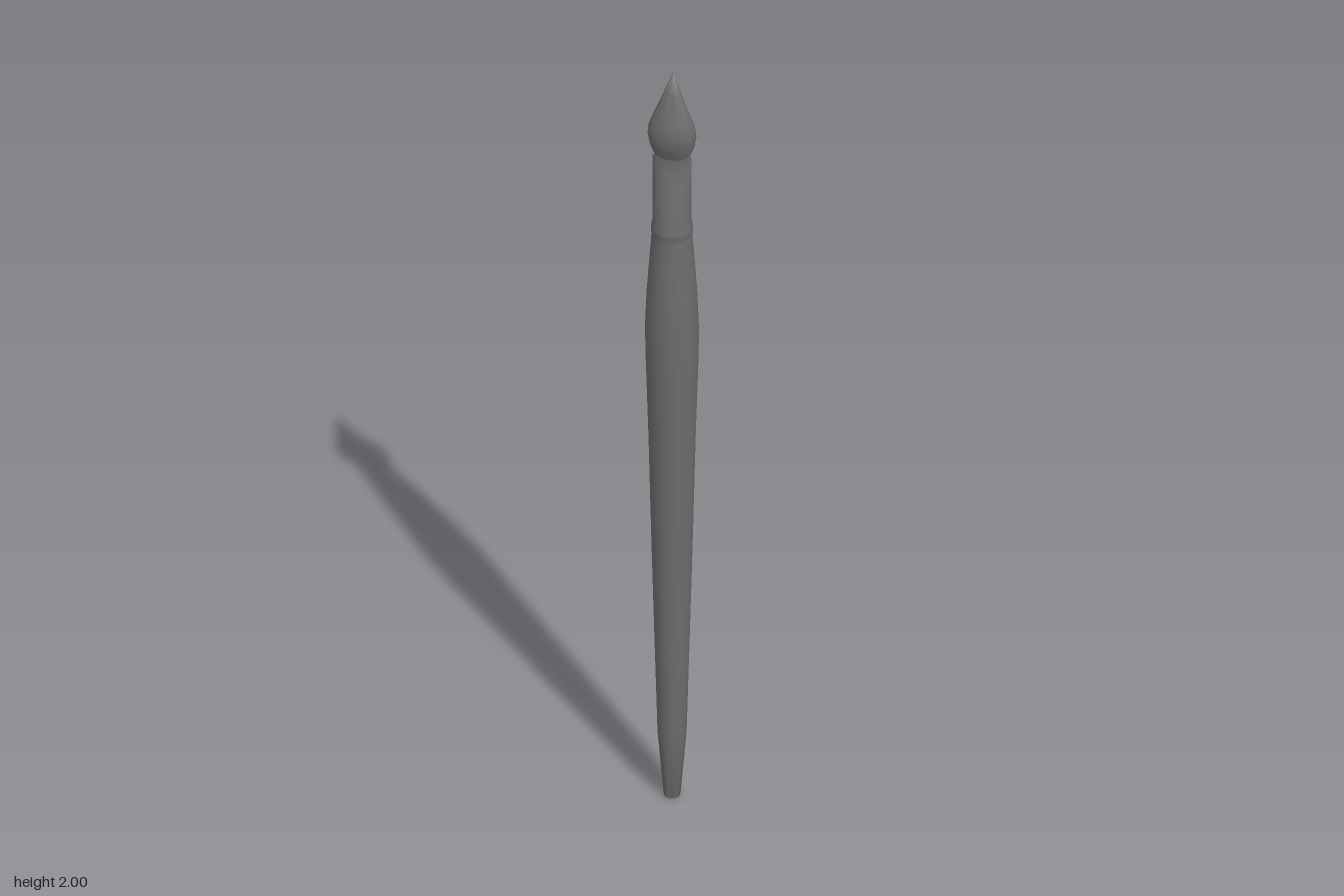
import * as THREE from 'three';
import { toCreasedNormals } from 'three/addons/utils/BufferGeometryUtils.js';

const material = new THREE.MeshStandardMaterial({ color: 0x6c6c6c });

// Skins a stack of cross-sections: [y, half width x, half depth z, z offset, lens exponent].
// Exponent 1 is an ellipse; above 1 the section is pinched to an edge at both sides.
function loft(name, rows, sides) {
  const positions = [];
  const index = [];
  for (const [y, rx, rz, zOff = 0, p = 1] of rows) {
    for (let j = 0; j < sides; j++) {
      const a = (j / sides) * Math.PI * 2;
      const s = Math.sin(a);
      positions.push(rx * Math.cos(a), y, zOff + rz * Math.sign(s) * Math.abs(s) ** p);
    }
  }
  for (let i = 0; i < rows.length - 1; i++) {
    for (let j = 0; j < sides; j++) {
      const k = (j + 1) % sides;
      const a = i * sides + j, b = a + sides;
      const c = i * sides + k, d = c + sides;
      // Sections of zero width close the skin, so they need one triangle per side
      if (rows[i][1] > 0) index.push(a, b, c);
      if (rows[i + 1][1] > 0) index.push(b, d, c);
    }
  }
  const geometry = new THREE.BufferGeometry();
  geometry.setAttribute('position', new THREE.Float32BufferAttribute(positions, 3));
  geometry.setIndex(index);
  const mesh = new THREE.Mesh(toCreasedNormals(geometry, 0.9), material);
  mesh.name = name;
  return mesh;
}

export function createModel() {
  const brush = new THREE.Group();
  brush.name = 'paintbrush';

  // Long round handle, swelling towards the grip
  const handle = [
    [0, 0], [0, 0.018], [0.006, 0.02], [0.18, 0.034], [0.4, 0.04], [0.7, 0.048],
    [1.0, 0.055], [1.2, 0.061], [1.3, 0.063], [1.4, 0.059], [1.5, 0.052], [1.57, 0.047], [1.57, 0],
  ].map(([y, r]) => [y, r, r]);
  brush.add(loft('handle', handle, 16));

  // Metal sleeve: rolled collar, then flattened front to back towards the bristles
  brush.add(loft('ferrule', [
    [1.562, 0, 0], [1.562, 0.045, 0.045], [1.57, 0.048, 0.048], [1.578, 0.049, 0.049],
    [1.588, 0.048, 0.048], [1.596, 0.046, 0.046], [1.615, 0.045, 0.044], [1.66, 0.045, 0.034],
    [1.7, 0.045, 0.024], [1.74, 0.045, 0.014], [1.76, 0.045, 0.011], [1.78, 0.045, 0.012], [1.78, 0, 0],
  ], 16));

  // Flat bristle tuft with a tip that curls backwards
  brush.add(loft('bristles', [
    [1.765, 0, 0], [1.765, 0.036, 0.008, 0, 1.1], [1.785, 0.042, 0.016, 0, 1.1],
    [1.81, 0.052, 0.028, 0, 1.2], [1.84, 0.057, 0.034, 0, 1.2], [1.865, 0.054, 0.032, 0, 1.2],
    [1.89, 0.045, 0.025, 0, 1.2], [1.92, 0.033, 0.017, -0.001, 1.1], [1.95, 0.021, 0.012, -0.004, 1.1],
    [1.975, 0.011, 0.008, -0.01], [1.99, 0.005, 0.005, -0.018], [2, 0, 0, -0.03],
  ], 24));

  return brush;
}
